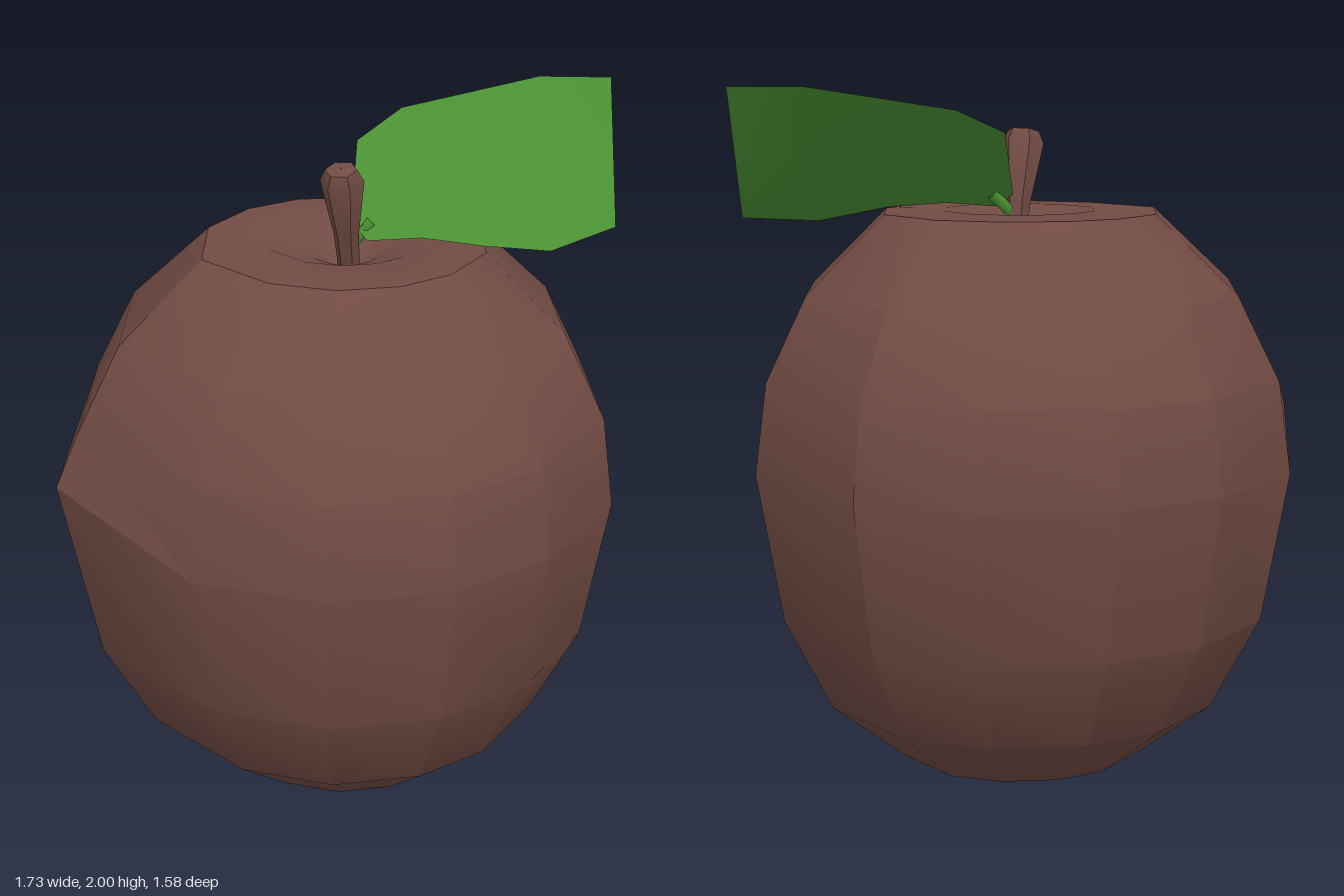
import * as THREE from 'three';
import { toCreasedNormals } from 'three/addons/utils/BufferGeometryUtils.js';

const brown = new THREE.MeshStandardMaterial({ color: 0x714b43 });
brown.name = 'brownSkin';
const green = new THREE.MeshStandardMaterial({ color: 0x4a8f33, side: THREE.DoubleSide });
green.name = 'leafGreen';
const olive = new THREE.MeshStandardMaterial({ color: 0x4f5a2a, side: THREE.DoubleSide });
olive.name = 'calyxOlive';

// Faceted fruit: a profile swept around an uneven twelve-sided outline
function fruitGeometry() {
  const profile = [
    [0.005, 0.13], [0.09, 0.1], [0.18, 0.015], [0.35, 0.05], [0.57, 0.22], [0.71, 0.49],
    [0.785, 0.92], [0.75, 1.18], [0.63, 1.42], [0.4, 1.64], [0.22, 1.645], [0.09, 1.6], [0.005, 1.55],
  ].map(([r, y]) => new THREE.Vector2(r, y));
  const outline = [
    [0, 0.785], [0.31, 0.71], [0.63, 0.46], [0.78, 0], [0.63, -0.48], [0.35, -0.7],
    [0, -0.79], [-0.32, -0.73], [-0.64, -0.49], [-0.84, 0.01], [-0.63, 0.49], [-0.34, 0.72],
  ];
  const geo = new THREE.LatheGeometry(profile, 12);
  const pos = geo.attributes.position;
  for (let k = 0; k < pos.count; k++) {
    const side = Math.floor(k / profile.length) % 12;
    const ring = k % profile.length;
    const s = profile[ring].x / 0.785;
    let y = profile[ring].y;
    let x = outline[side][0] * s;
    if (ring === 2) y = side % 2 ? 0.005 : 0.03; // lobes around the base
    if (ring === 6 && side === 9) { x = -0.87; y = 1.03; } // bulge on the right cheek
    pos.setXYZ(k, x, y, outline[side][1] * s);
  }
  return toCreasedNormals(geo, 0.5);
}

// Surface lofted through equal-length rows of points
function loft(rows) {
  const n = rows[0].length;
  const index = [];
  for (let i = 0; i < rows.length - 1; i++) {
    for (let j = 0; j < n - 1; j++) {
      const a = i * n + j;
      index.push(a, a + 1, a + n, a + 1, a + n + 1, a + n);
    }
  }
  const geo = new THREE.BufferGeometry();
  geo.setAttribute('position', new THREE.Float32BufferAttribute(rows.flat(2), 3));
  geo.setIndex(index);
  geo.computeVertexNormals();
  return geo;
}

// Leaf rows: back edge, slightly sunken midrib, front edge
function leafGeometry() {
  const edges = [
    [[0.02, 1.69, -0.02], [0.04, 1.65, 0.05]],
    [[0.1, 1.87, -0.18], [0.18, 1.66, 0.11]],
    [[0.26, 1.935, -0.235], [0.33, 1.645, 0.195]],
    [[0.67, 2.0, -0.185], [0.53, 1.61, 0.21]],
    [[0.86, 2.0, -0.1], [0.77, 1.63, 0.14]],
  ];
  const sink = [0, 0.012, 0.02, 0.02, 0];
  return loft(edges.map(([b, f], i) => {
    const mid = b.map((v, k) => (v + f[k]) / 2);
    mid[1] -= sink[i];
    mid[2] -= sink[i];
    return [f, mid, b];
  }));
}

export function createModel() {
  const model = new THREE.Group();
  const add = (name, geo, mat) => {
    const mesh = new THREE.Mesh(geo, mat);
    mesh.name = name;
    model.add(mesh);
    return mesh;
  };

  add('fruit', fruitGeometry(), brown);

  // Leaning stem that widens towards a bevelled tip
  const stemProfile = [[0.03, 0], [0.036, 0.12], [0.062, 0.29], [0.045, 0.325], [0.002, 0.33]]
    .map(([r, y]) => new THREE.Vector2(r, y));
  const stem = add('stem', toCreasedNormals(new THREE.LatheGeometry(stemProfile, 6), 0.7), brown);
  stem.position.set(0.01, 1.55, -0.01);
  stem.rotation.set(0.2, 0, 0.15);

  add('leaf', leafGeometry(), green);

  // Short stalk joining leaf and stem
  const stalkPath = new THREE.LineCurve3(new THREE.Vector3(0, 1.62, 0), new THREE.Vector3(0.07, 1.69, 0.01));
  add('leafStalk', new THREE.TubeGeometry(stalkPath, 1, 0.018, 5), green);

  // Small raised nick on the cheek
  const nick = loft([
    [[-0.565, 1.33, 0.43], [-0.56, 1.33, 0.445]],
    [[-0.685, 1.24, 0.27], [-0.61, 1.24, 0.445]],
    [[-0.665, 1.17, 0.325], [-0.625, 1.17, 0.45]],
  ]);
  add('nick', nick, brown);

  // Dried calyx tips inside the hollow underneath
  const tip = new THREE.Shape([[0, 0], [0.05, 0.06], [0, 0.15], [-0.05, 0.06]]
    .map(([x, y]) => new THREE.Vector2(x, y)));
  for (let i = 0; i < 5; i++) {
    const holder = new THREE.Group();
    holder.name = 'calyx' + (i + 1);
    const leaf = new THREE.Mesh(new THREE.ShapeGeometry(tip), olive);
    leaf.name = 'calyxTip';
    leaf.rotation.x = Math.PI / 2 + 0.35;
    holder.add(leaf);
    holder.position.y = 0.09;
    holder.rotation.y = (i / 5) * Math.PI * 2;
    model.add(holder);
  }
  return model;
}
